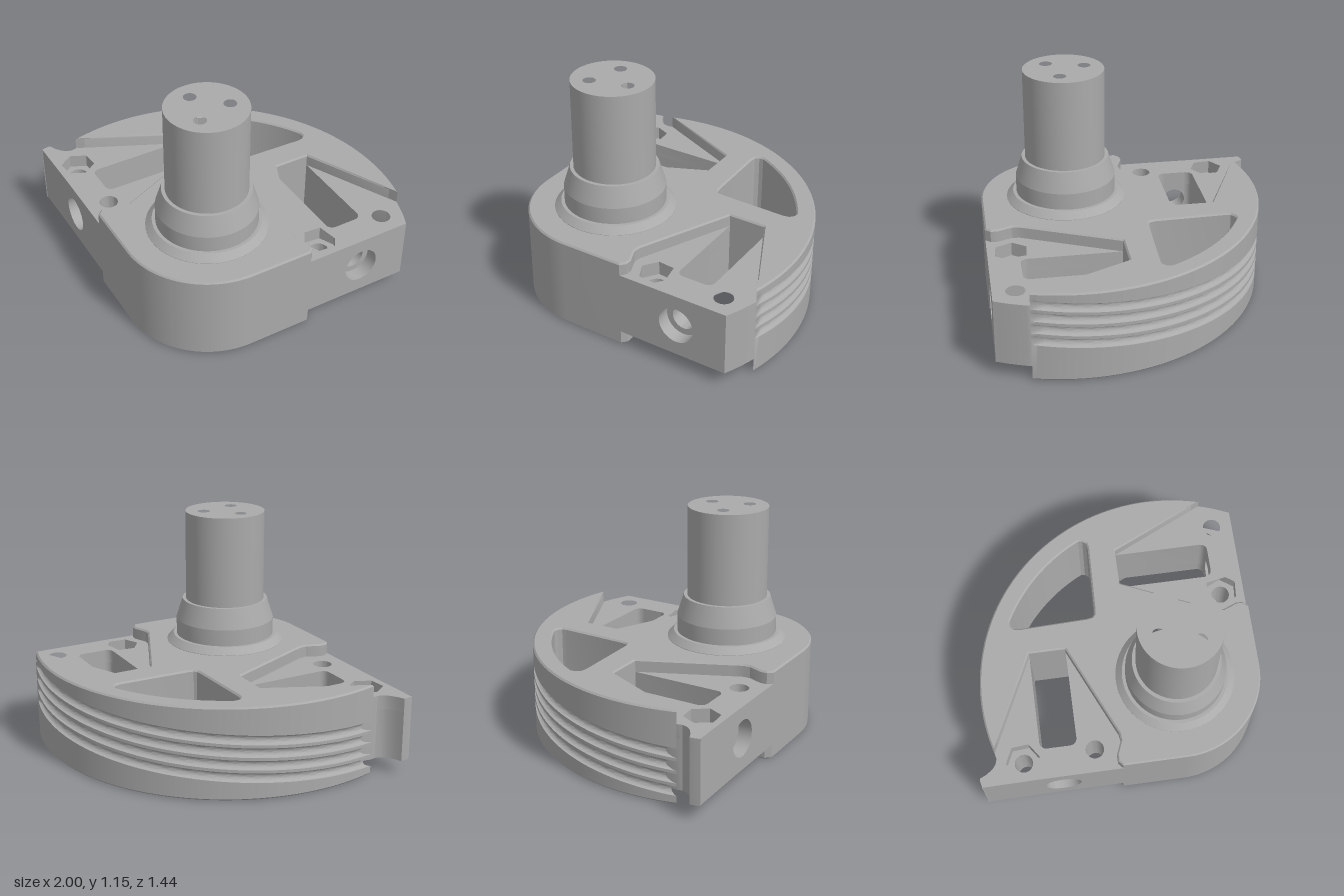
import * as THREE from 'three';
import { toCreasedNormals } from 'three/addons/utils/BufferGeometryUtils.js';

const CX = 0.05, CZ = 0.28;          // axis of the shaft and of the curved rim
const TOP = 0.465, EAR0 = 0.075, EAR1 = 0.4;
const D = Math.PI / 180;

// Plan points are [distance from the centre line, z].
const ring = (x, z, r, n, rot = 0) => Array.from({ length: n }, (_, i) => {
  const a = rot + (i / n) * 2 * Math.PI;
  return [x + r * Math.cos(a), z + r * Math.sin(a)];
});
// Arc about the shaft axis; angle 0 points to the back, 180 to the front.
const arc = (r, a0, a1, n) => Array.from({ length: n + 1 }, (_, i) => {
  const a = (a0 + (a1 - a0) * i / n) * D;
  return [r * Math.sin(a), CZ - r * Math.cos(a)];
});
const mirrored = half => [...half, ...half.map(([x, z]) => [-x, z]).reverse()];

// Vertical plate from a plan outline with holes
function slab(points, holes, y0, y1, side = 1, bevel = 0) {
  const v = list => list.map(([x, z]) => new THREE.Vector2(CX + side * x, -z));
  const shape = new THREE.Shape(v(points));
  shape.holes = holes.map(h => new THREE.Path(v(h)));
  const geo = new THREE.ExtrudeGeometry(shape, {
    depth: y1 - y0 - 2 * bevel, bevelEnabled: bevel > 0, bevelSegments: 1,
    bevelSize: bevel, bevelThickness: bevel, bevelOffset: -bevel,
  });
  geo.rotateX(-Math.PI / 2).translate(0, y0 + bevel, 0);
  return toCreasedNormals(geo, 0.45);
}

// Curved rim with four slanting round grooves, swept as a cross-section
function grooveRim() {
  const N = 120, g = 0.024, pos = [], idx = [];
  const section = t => {
    const fade = Math.sqrt(Math.min(1, Math.max(0, (0.99 - t) / 0.025)));
    const pts = [[0.95, 0], [0.992, 0], [1, 0.008]];
    for (let k = 0; k < 4; k++) for (let i = 0; i <= 10; i++) {
      const a = Math.PI * i / 10;
      pts.push([1 - g * Math.sin(a) * fade, 0.141 + 0.063 * k + 0.075 * t - g * Math.cos(a)]);
    }
    pts.push([1, TOP - 0.008], [0.992, TOP], [0.95, TOP]);
    return pts;
  };
  const M = section(0).length;
  for (let i = 0; i <= N; i++) {
    const t = -1 + 2 * i / N;
    for (const [r, y] of section(t)) {
      const a = t * (61 - (1 - r) * 72) * D;
      pos.push(CX + r * Math.sin(a), y, CZ - r * Math.cos(a));
    }
  }
  for (let i = 0; i < N; i++) for (let j = 0; j < M - 1; j++) {
    const a = i * M + j, b = a + M;
    idx.push(a, a + 1, b, a + 1, b + 1, b);
  }
  for (const [t, base] of [[-1, 0], [1, N * M]]) {
    const contour = section(t).map(p => new THREE.Vector2(...p));
    for (const [a, b, c] of THREE.ShapeUtils.triangulateShape(contour, []))
      idx.push(base + a, base + (t > 0 ? b : c), base + (t > 0 ? c : b));
  }
  const geo = new THREE.BufferGeometry();
  geo.setAttribute('position', new THREE.Float32BufferAttribute(pos, 3));
  geo.setIndex(idx);
  return toCreasedNormals(geo, 0.7);
}

export function createModel() {
  const model = new THREE.Group();
  model.name = 'grooved sector with shaft';
  const grey = new THREE.MeshStandardMaterial({ color: 0xaaaaaa });
  grey.name = 'grey';
  const add = (name, geo, parent = model) => {
    const mesh = new THREE.Mesh(geo, grey);
    mesh.name = name;
    parent.add(mesh);
    return mesh;
  };

  // Ear coordinates: u along the slanted face, v inward from the face
  const C = [0.76, 0.14], q = Math.SQRT1_2;
  const P = (u, v) => [C[0] - q * (v + u), C[1] + q * (u - v)];
  const fillet = s => [0, 1, 2, 3, 4].map(i => {
    const a = i / 4 * Math.PI / 2;
    return P(s * (0.06 + 0.035 * Math.sin(a)), 0.189 - 0.035 * Math.cos(a));
  });

  // Core body with the rear window and the shaft bore
  const outline = mirrored([
    ...arc(0.969, 0, 58.9, 40).slice(1), P(-0.095, 0.652), P(0.095, 0.652),
    [0.405, 0.2], [0.42, 0.24], [0.445, 0.27], [0.515, 0.3], [0.538, 0.325], [0.54, 0.36],
    ...arc(0.4384, 135, 179, 20),
  ]);
  const rearWindow = mirrored([
    [0.008, -0.252], [0.03, -0.267], [0.29, -0.512], [0.306, -0.535], [0.304, -0.56], [0.29, -0.577],
    ...arc(0.905, 17.3, 1, 12),
  ]);
  add('coreBody', slab(outline, [rearWindow, ring(0, CZ, 0.285, 64)], 0, TOP, 1, 0.008));
  add('groovedRim', grooveRim());

  // Side ears: two plates joined by a drilled wall across the pocket
  const inner = [P(0.095, 0.652), [0.3, 0.2], [0.5, 0.4], P(0.096, 0), P(0.096, 0.154), ...fillet(1)];
  const tips = {
    '1': [...arc(1, 62, 107 - 36.5, 8), [0.946, -0.046], [0.935, -0.035]],
    '-1': [[0.89, -0.18], [0.915, -0.166], [0.945, -0.162], [0.985, -0.169], [1.02, -0.182],
      [1.032, -0.168], [1.05, -0.14], [1.045, -0.145 + 0.005]],
  };
  for (const side of [1, -1]) {
    const ear = new THREE.Group();
    ear.name = side > 0 ? 'leftEar' : 'rightEar';
    model.add(ear);
    const outer = [P(-0.095, 0.652), [0.5, -0.4], [0.76, -0.29], [0.875, -0.204],
      ...tips[side], P(-0.096, 0), P(-0.096, 0.154), ...fillet(-1)];
    // Each screw hole has a hexagonal nut recess at one end
    const plates = [
      ['innerPlate', inner, 0.55, 0.185, side > 0],
      ['outerPlate', outer, 0.815, -0.07, side < 0],
    ];
    for (const [name, pts, hx, hz, hexOnTop] of plates) {
      const round = ring(hx, hz, 0.047, 32), hex = ring(hx, hz, 0.087, 6, 20 * D);
      const mid = hexOnTop ? EAR1 - 0.07 : EAR0 + 0.07;
      add(name + 'Lower', slab(pts, [hexOnTop ? round : hex], EAR0, mid, side), ear);
      add(name + 'Upper', slab(pts, [hexOnTop ? hex : round], mid, EAR1, side), ear);
    }
    // Drilled wall with a counterbore
    const h = (EAR1 - EAR0) / 2;
    for (const [name, r, z0, z1] of [['counterbore', 0.092, -0.07, 0], ['crossHole', 0.06, -0.154, -0.07]]) {
      const wall = new THREE.Shape([[-0.096, -h], [0.096, -h], [0.096, h], [-0.096, h]]
        .map(p => new THREE.Vector2(...p)));
      wall.holes.push(new THREE.Path(ring(0, 0, r, 40).map(p => new THREE.Vector2(...p))));
      const geo = new THREE.ExtrudeGeometry(wall, { depth: z1 - z0, bevelEnabled: false }).translate(0, 0, z0);
      const mesh = add(name + 'Wall', toCreasedNormals(geo, 0.45), ear);
      mesh.rotation.y = side * Math.PI / 4;
      mesh.position.set(CX + side * C[0], EAR0 + h, C[1]);
    }
  }

  // Collar, stepped bore and the shaft with three through holes
  const lathe = pts => toCreasedNormals(
    new THREE.LatheGeometry(pts.map(p => new THREE.Vector2(...p)), 72).translate(CX, 0, CZ), 0.25);
  add('collar', lathe([[0.305, 0.463], [0.305, 0.467], [0.272, 0.5], [0.255, 0.5], [0.255, 0.585], [0.222, 0.69], [0.2, 0.69]]));
  add('boreStep', lathe([[0.262, 0.301], [0.262, 0.16], [0.288, 0.16]]));
  const screws = (r, n) => [90, 210, 330].map(a =>
    ring(0.112 * Math.cos(a * D), CZ + 0.112 * Math.sin(a * D), r, n));
  add('boreCeiling', slab(ring(0, CZ, 0.288, 64), screws(0.062, 6), 0.3, 0.36));
  add('shaft', slab(ring(0, CZ, 0.204, 72), screws(0.032, 28), 0.36, 1.155));
  return model;
}
